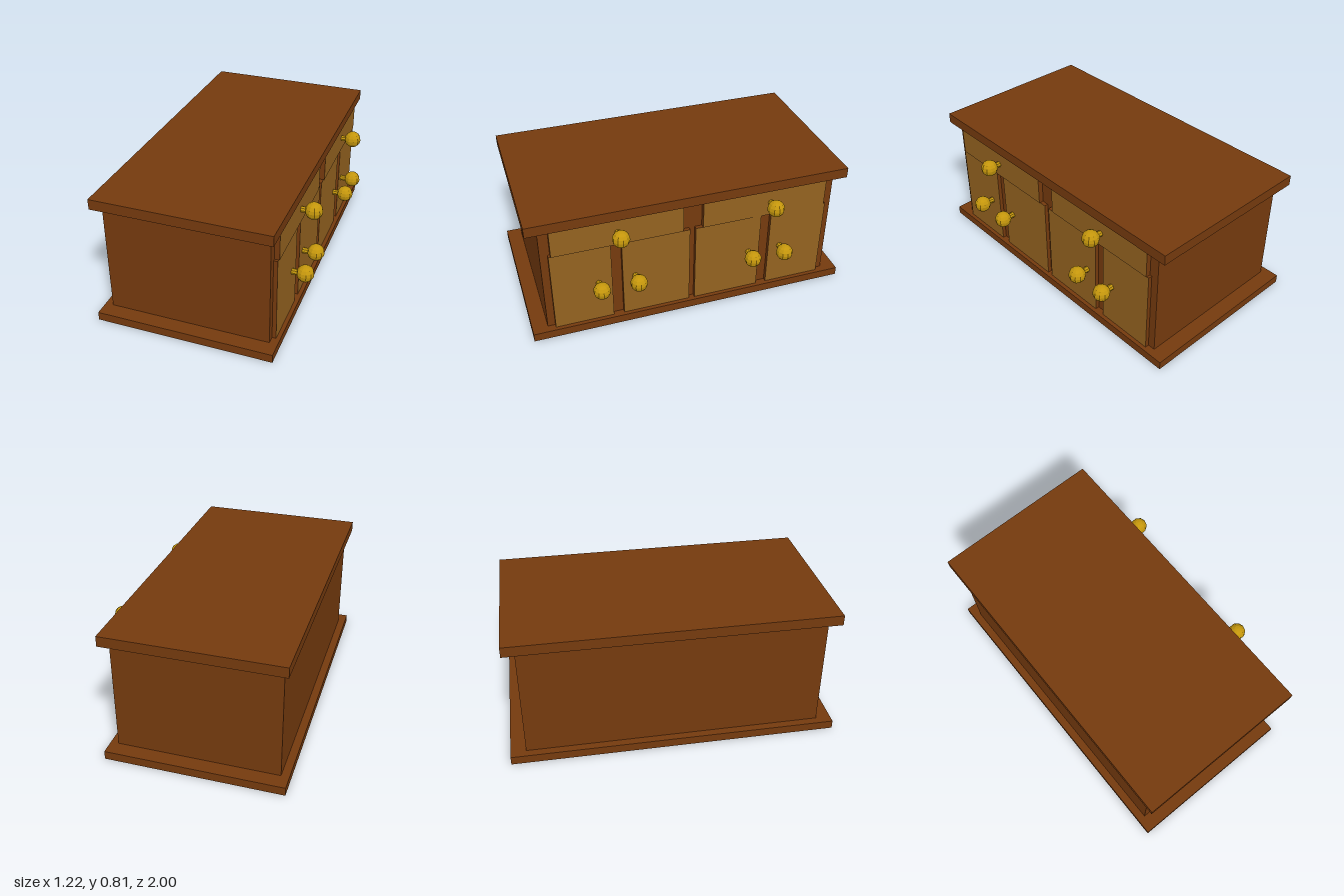
import * as THREE from 'three';

const wood = new THREE.MeshStandardMaterial({ color: 0x753a0e });
const panel = new THREE.MeshStandardMaterial({ color: 0x946220 });
const brass = new THREE.MeshStandardMaterial({ color: 0xc4960c, flatShading: true });

const FRAME = 0.4825; // local x of the carcass front

export function createModel() {
  const model = new THREE.Group();
  model.name = 'sideboard';

  // the cabinet front faces +x, turned slightly about the vertical
  const cabinet = new THREE.Group();
  cabinet.name = 'cabinet';
  cabinet.position.x = -0.0455;
  cabinet.rotation.y = THREE.MathUtils.degToRad(-2);
  model.add(cabinet);

  function box(name, x0, x1, y0, y1, z0, z1, material = wood) {
    const mesh = new THREE.Mesh(new THREE.BoxGeometry(x1 - x0, y1 - y0, z1 - z0), material);
    mesh.position.set((x0 + x1) / 2, (y0 + y1) / 2, (z0 + z1) / 2);
    mesh.name = name;
    cabinet.add(mesh);
  }

  // base, carcass and top board
  box('base', -0.53, 0.53, 0, 0.052, -0.9815, 0.9815);
  box('carcass', -FRAME, FRAME, 0.052, 0.745, -0.89, 0.89);
  box('topBoard', -0.519, 0.519, 0.745, 0.807, -0.962, 0.962);

  // doors and drawer fronts: dark edges with a lighter front face
  const faced = [panel, wood, wood, wood, wood, wood];
  for (const [side, s] of [['left', -1], ['right', 1]]) {
    const front = (name, depth, y0, y1, a, b) =>
      box(side + name, FRAME, depth, y0, y1, Math.min(s * a, s * b), Math.max(s * a, s * b), faced);
    front('InnerDoor', 0.506, 0.052, 0.574, 0.0175, 0.428);
    front('OuterDoor', 0.506, 0.052, 0.574, 0.492, 0.845);
    front('Drawer', 0.512, 0.576, 0.745, 0.06, 0.832);
  }

  // round knobs on short stems
  const ball = new THREE.SphereGeometry(0.051, 10, 8);
  const stem = new THREE.CylinderGeometry(0.018, 0.018, 0.08, 8).rotateZ(Math.PI / 2);
  function knob(name, y, z) {
    const group = new THREE.Group();
    group.name = name;
    const head = new THREE.Mesh(ball, brass);
    head.name = 'knobHead';
    const shank = new THREE.Mesh(stem, brass);
    shank.name = 'knobStem';
    shank.position.set(-0.06, -0.004, 0);
    group.add(head, shank);
    group.position.set(0.585, y, z);
    cabinet.add(group);
  }
  for (const z of [0.4485, -0.4785]) knob('drawerKnob', 0.668, z);
  for (const z of [0.5725, 0.3535, -0.3575, -0.5635]) knob('doorKnob', 0.327, z);

  return model;
}
